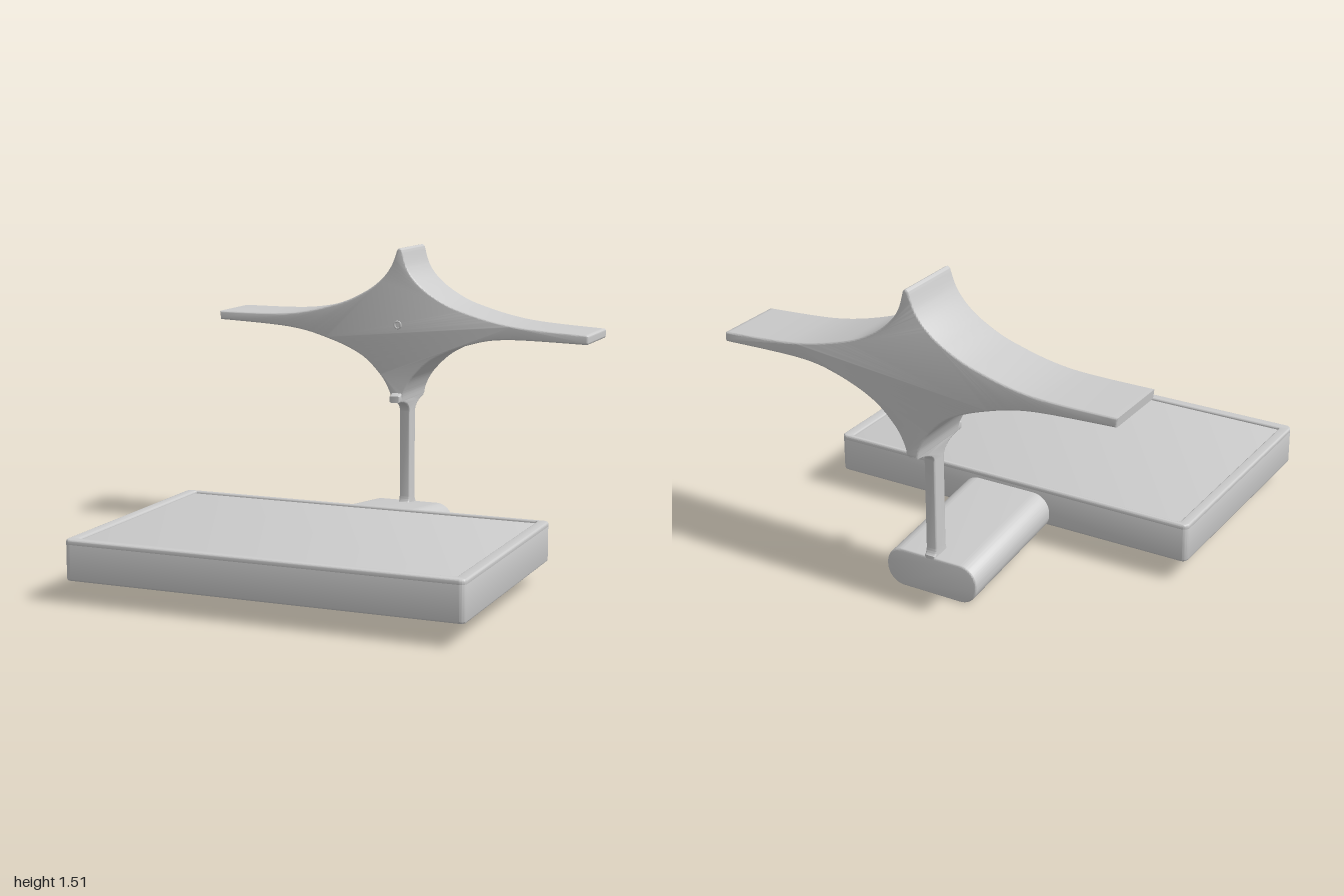
import * as THREE from 'three';
import { toCreasedNormals } from 'three/addons/utils/BufferGeometryUtils.js';

const material = new THREE.MeshStandardMaterial({ color: 0xcccccc });

function addMesh(group, name, geometry) {
  const mesh = new THREE.Mesh(toCreasedNormals(geometry, 0.7), material);
  mesh.name = name;
  group.add(mesh);
  return mesh;
}

// Extrusion whose bevel stays inside the outline and the depth.
function extrude(shape, depth, bevel, steps = 1) {
  const g = new THREE.ExtrudeGeometry(shape, {
    depth: depth - 2 * bevel, steps, curveSegments: 16, bevelEnabled: true,
    bevelThickness: bevel, bevelSize: bevel, bevelOffset: -bevel, bevelSegments: 3,
  });
  return g.translate(0, 0, bevel);
}

function roundedRect(x0, y0, x1, y1, r, Type = THREE.Shape) {
  const s = new Type();
  s.absarc(x1 - r, y0 + r, r, -Math.PI / 2, 0);
  s.absarc(x1 - r, y1 - r, r, 0, Math.PI / 2);
  s.absarc(x0 + r, y1 - r, r, Math.PI / 2, Math.PI);
  s.absarc(x0 + r, y0 + r, r, Math.PI, Math.PI * 1.5);
  s.closePath();
  return s;
}

const vectors = (points) => points.map(([x, y]) => new THREE.Vector2(x, y));

export function createModel() {
  const group = new THREE.Group();

  // Wide slab with a shallow raised rim
  const outline = () => roundedRect(-0.96, -1, 0.945, 0.215, 0.03);
  addMesh(group, 'slab', extrude(outline(), 0.178, 0.01).rotateX(-Math.PI / 2).translate(0, 0.11, 0));
  const rim = outline();
  rim.holes.push(roundedRect(-0.91, -0.95, 0.89, 0.19, 0.012, THREE.Path));
  addMesh(group, 'slabRim', extrude(rim, 0.03, 0.008).rotateX(-Math.PI / 2).translate(0, 0.27, 0));

  // Flattened arm that slopes down towards the back
  const arm = extrude(roundedRect(-0.245, 0, 0.23, 0.187, 0.088), 0.89, 0.008);
  arm.translate(0, 0, -0.875);
  const p = arm.attributes.position;
  for (let i = 0; i < p.count; i++) p.setY(i, p.getY(i) + 0.005 + 0.108 * (p.getZ(i) + 0.875));
  addMesh(group, 'arm', arm);

  // Upright post, flared under the star (profile drawn as z, y)
  const post = new THREE.Shape();
  post.moveTo(-0.875, 0.15);
  post.lineTo(-0.765, 0.15);
  post.lineTo(-0.765, 0.2);
  post.quadraticCurveTo(-0.78, 0.21, -0.78, 0.24);
  post.lineTo(-0.78, 0.67);
  post.quadraticCurveTo(-0.775, 0.735, -0.63, 0.742);
  post.lineTo(-0.63, 0.775);
  post.lineTo(-0.665, 0.79);
  post.lineTo(-0.985, 0.79);
  post.lineTo(-0.985, 0.735);
  post.quadraticCurveTo(-0.865, 0.715, -0.86, 0.67);
  post.lineTo(-0.86, 0.24);
  post.quadraticCurveTo(-0.86, 0.21, -0.875, 0.2);
  post.closePath();
  addMesh(group, 'post', extrude(post, 0.056, 0.008).translate(0, 0, -0.028)
    .rotateY(-Math.PI / 2).translate(-0.002, 0, 0));

  // Four-pointed star with long side arms
  const star = new THREE.Shape();
  star.moveTo(0.024, 1.51);
  star.splineThru(vectors([[0.05, 1.425], [0.1, 1.355], [0.19, 1.285], [0.33, 1.22],
    [0.6, 1.155], [0.98, 1.126]]));
  star.quadraticCurveTo(0.99, 1.125, 0.99, 1.115);
  star.lineTo(0.99, 1.09);
  star.quadraticCurveTo(0.99, 1.08, 0.98, 1.08);
  star.splineThru(vectors([[0.58, 1.085], [0.38, 1.05], [0.2, 0.975], [0.09, 0.88],
    [0.04, 0.8], [0.026, 0.745]]));
  star.lineTo(-0.03, 0.745);
  star.splineThru(vectors([[-0.045, 0.8], [-0.095, 0.88], [-0.2, 0.975], [-0.38, 1.05],
    [-0.6, 1.1], [-0.99, 1.122]]));
  star.lineTo(-0.995, 1.165);
  star.splineThru(vectors([[-0.6, 1.172], [-0.33, 1.23], [-0.18, 1.295], [-0.09, 1.36],
    [-0.035, 1.43], [-0.004, 1.51]]));
  star.quadraticCurveTo(0.01, 1.53, 0.024, 1.51);
  addMesh(group, 'star', extrude(star, 0.335, 0.008).translate(0, 0, -0.995));

  // Small ring in the middle of the star's front
  const ring = addMesh(group, 'centreRing', new THREE.TorusGeometry(0.017, 0.005, 8, 24));
  ring.position.set(0.002, 1.135, -0.66);

  return group;
}
